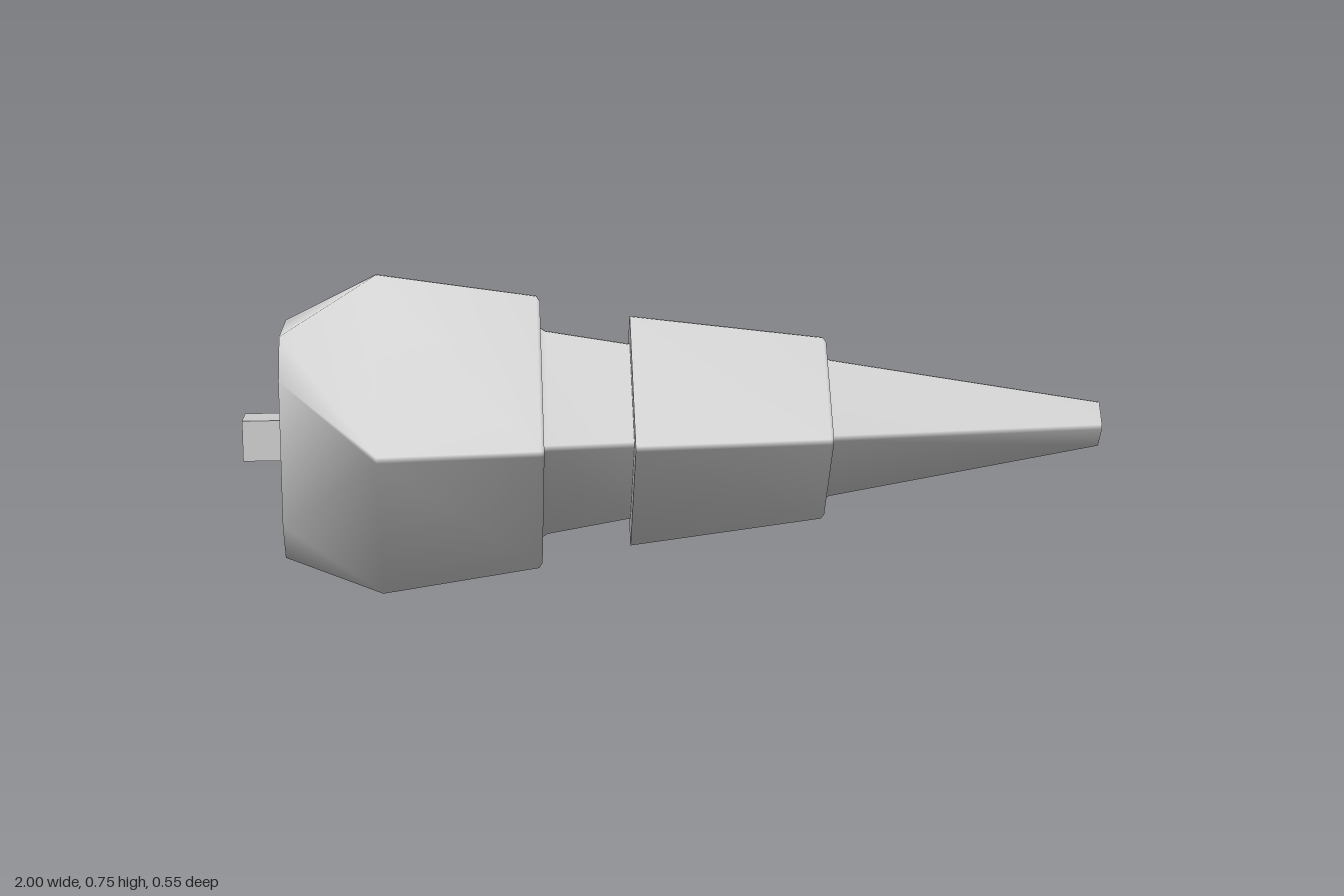
import * as THREE from 'three';

const RATIO = 0.728; // diamond width / height
const MID = 0.376;   // height of the long axis

// Diamond section at x with half height h and slightly blunted points
const diamond = (x, h, blunt = 0.006) => ({ x, h, w: h * RATIO, t: blunt * 0.9, s: blunt * 1.1 });

// Eight corners of a section, counter-clockwise seen from +x
const corners = ({ x, h, w, t, s }) => [
  [s, -w], [h, -t], [h, t], [s, w], [-s, w], [-h, t], [-h, -t], [-s, -w],
].map(([y, z]) => [x, y + MID, z]);

// Smooth skin through sections along x, with crisp flat caps.
// Repeating a section makes a hard edge there.
function loft(name, material, sections) {
  const pos = [], index = [];
  const addRing = (sec) => {
    const start = pos.length / 3;
    pos.push(...corners(sec).flat());
    return start;
  };
  let prev = null;
  sections.forEach((sec, k) => {
    const ring = addRing(sec);
    if (k > 0 && sec !== sections[k - 1]) {
      for (let i = 0; i < 8; i++) {
        const j = (i + 1) % 8;
        index.push(prev + i, prev + j, ring + j, prev + i, ring + j, ring + i);
      }
    }
    prev = ring;
  });
  const first = addRing(sections[0]);
  const last = addRing(sections[sections.length - 1]);
  for (let i = 1; i < 7; i++) {
    index.push(first, first + i + 1, first + i);
    index.push(last, last + i, last + i + 1);
  }
  const geo = new THREE.BufferGeometry();
  geo.setAttribute('position', new THREE.Float32BufferAttribute(pos, 3));
  geo.setIndex(index);
  geo.computeVertexNormals();
  const mesh = new THREE.Mesh(geo, material);
  mesh.name = name;
  return mesh;
}

export function createModel() {
  const group = new THREE.Group();
  group.name = 'taperedDiamondRod';
  const grey = new THREE.MeshStandardMaterial({ color: 0xcccccc });

  // Square peg behind the head
  const peg = new THREE.Mesh(new THREE.BoxGeometry(0.12, 0.094, 0.09), grey);
  peg.name = 'rearPeg';
  peg.position.set(-0.94, MID + 0.002, 0);
  group.add(peg);

  // Head: diamond whose four edges are cut away towards the rear
  group.add(loft('head', grey, [
    { x: -0.905, h: 0.255, w: 0.184, t: 0.12, s: 0.165 },
    diamond(-0.69, 0.376),
    diamond(-0.325, 0.322),
    diamond(-0.317, 0.31),
  ]));

  // Neck with a small fillet at its root
  group.add(loft('neck', grey, [
    diamond(-0.33, 0.25),
    diamond(-0.317, 0.248),
    diamond(-0.305, 0.24),
    diamond(-0.1, 0.205),
  ]));

  // Middle sleeve
  group.add(loft('sleeve', grey, [
    diamond(-0.11, 0.272),
    diamond(0.34, 0.216),
    diamond(0.348, 0.206),
  ]));

  // Long tapered tip, hollow at its end
  const lip = diamond(1, 0.052, 0.005);
  const mouth = diamond(1, 0.036, 0.004);
  group.add(loft('tip', grey, [
    diamond(0.335, 0.17),
    diamond(0.348, 0.168),
    diamond(0.358, 0.162),
    lip, lip,
    mouth, mouth,
    diamond(0.96, 0.024, 0.003),
  ]));

  return group;
}
